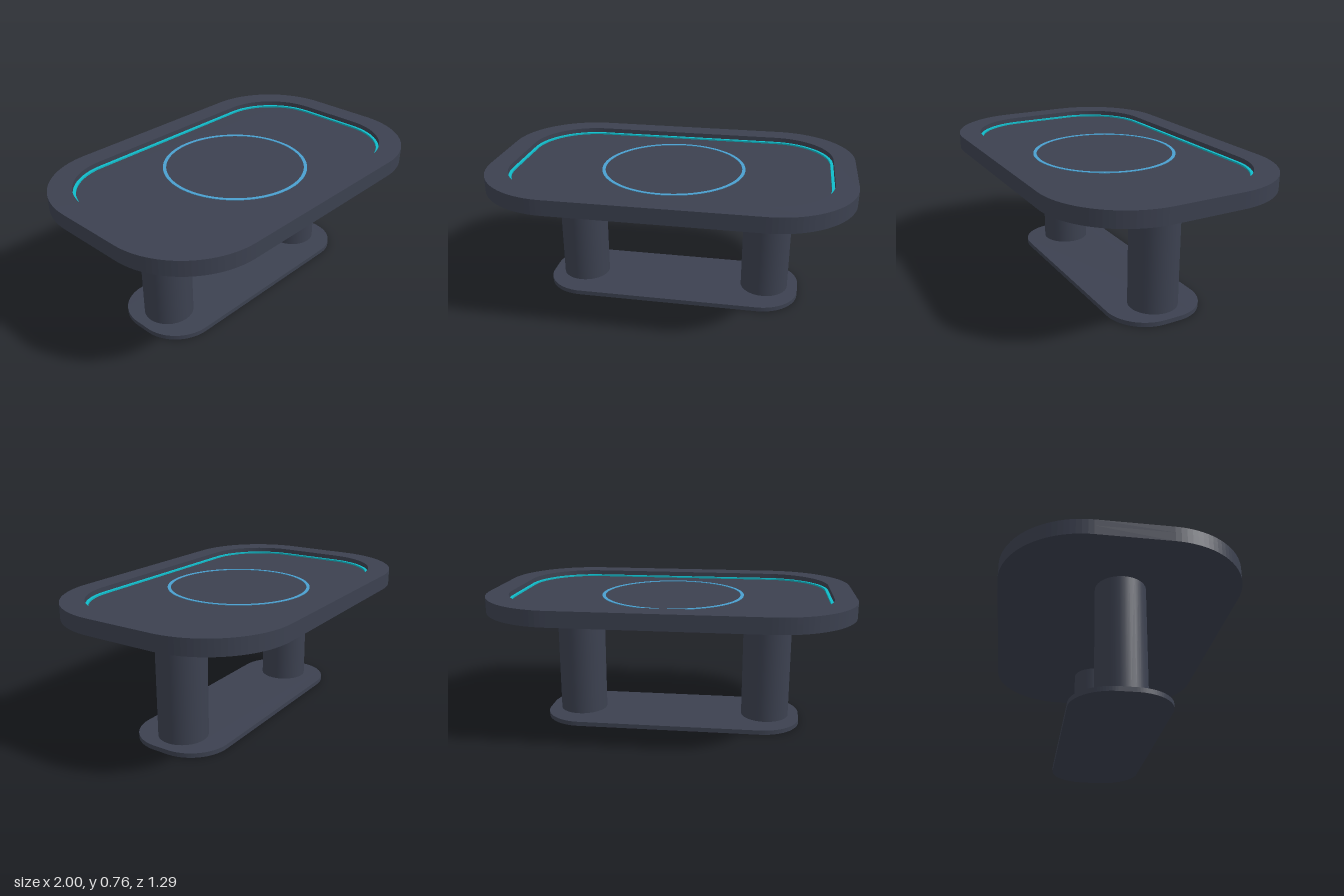
import * as THREE from 'three';

const body = new THREE.MeshStandardMaterial({ name: 'slate', color: 0x3c4150 });
const cyan = new THREE.MeshStandardMaterial({ name: 'cyanTrim', color: 0x10bcca });
const blue = new THREE.MeshStandardMaterial({ name: 'blueRing', color: 0x4a9fcf });

// Rounded rectangle outline from half sizes and corner radius
function outline(w, d, r, Type = THREE.Shape) {
  const s = new Type();
  s.moveTo(w, -d + r);
  s.absarc(w - r, d - r, r, 0, Math.PI / 2);
  s.absarc(-w + r, d - r, r, Math.PI / 2, Math.PI);
  s.absarc(-w + r, -d + r, r, Math.PI, Math.PI * 1.5);
  s.absarc(w - r, -d + r, r, Math.PI * 1.5, Math.PI * 2);
  s.closePath();
  return s;
}

// Horizontal plate between two heights, with an optional hole
function plate(name, material, shape, y0, y1, hole, curveSegments = 12) {
  if (hole) shape.holes.push(hole);
  const geo = new THREE.ExtrudeGeometry(shape, { depth: y1 - y0, bevelEnabled: false, curveSegments });
  geo.rotateX(-Math.PI / 2).translate(0, y0, 0);
  const mesh = new THREE.Mesh(geo, material);
  mesh.name = name;
  return mesh;
}

export function createModel() {
  const table = new THREE.Group();
  table.name = 'table';
  const floorY = 0.725, topY = 0.76;

  // Tabletop: solid slab with a raised rim around the sunken surface
  table.add(plate('tabletopSlab', body, outline(1, 0.645, 0.45), 0.675, floorY));
  table.add(plate('tabletopRim', body, outline(1, 0.645, 0.45), floorY, topY,
    outline(0.88, 0.525, 0.345, THREE.Path)));

  // Light strip along the foot of the recess wall
  table.add(plate('edgeStrip', cyan, outline(0.88, 0.525, 0.345), floorY, floorY + 0.009,
    outline(0.864, 0.509, 0.329, THREE.Path)));

  // Round inlay in the middle of the surface
  const disc = new THREE.Shape().absarc(0, 0, 0.4, 0, Math.PI * 2);
  const discHole = new THREE.Path().absarc(0, 0, 0.382, 0, Math.PI * 2);
  table.add(plate('centreRing', blue, disc, floorY, floorY + 0.003, discHole, 64));

  // Foot plate
  table.add(plate('footPlate', body, outline(0.735, 0.265, 0.22), 0, 0.025));

  // Two round columns
  for (const side of [-1, 1]) {
    const column = new THREE.Mesh(new THREE.CylinderGeometry(0.136, 0.136, 0.65, 32), body);
    column.position.set(side * 0.54, 0.35, 0);
    column.name = side > 0 ? 'leftColumn' : 'rightColumn';
    table.add(column);
  }
  return table;
}
